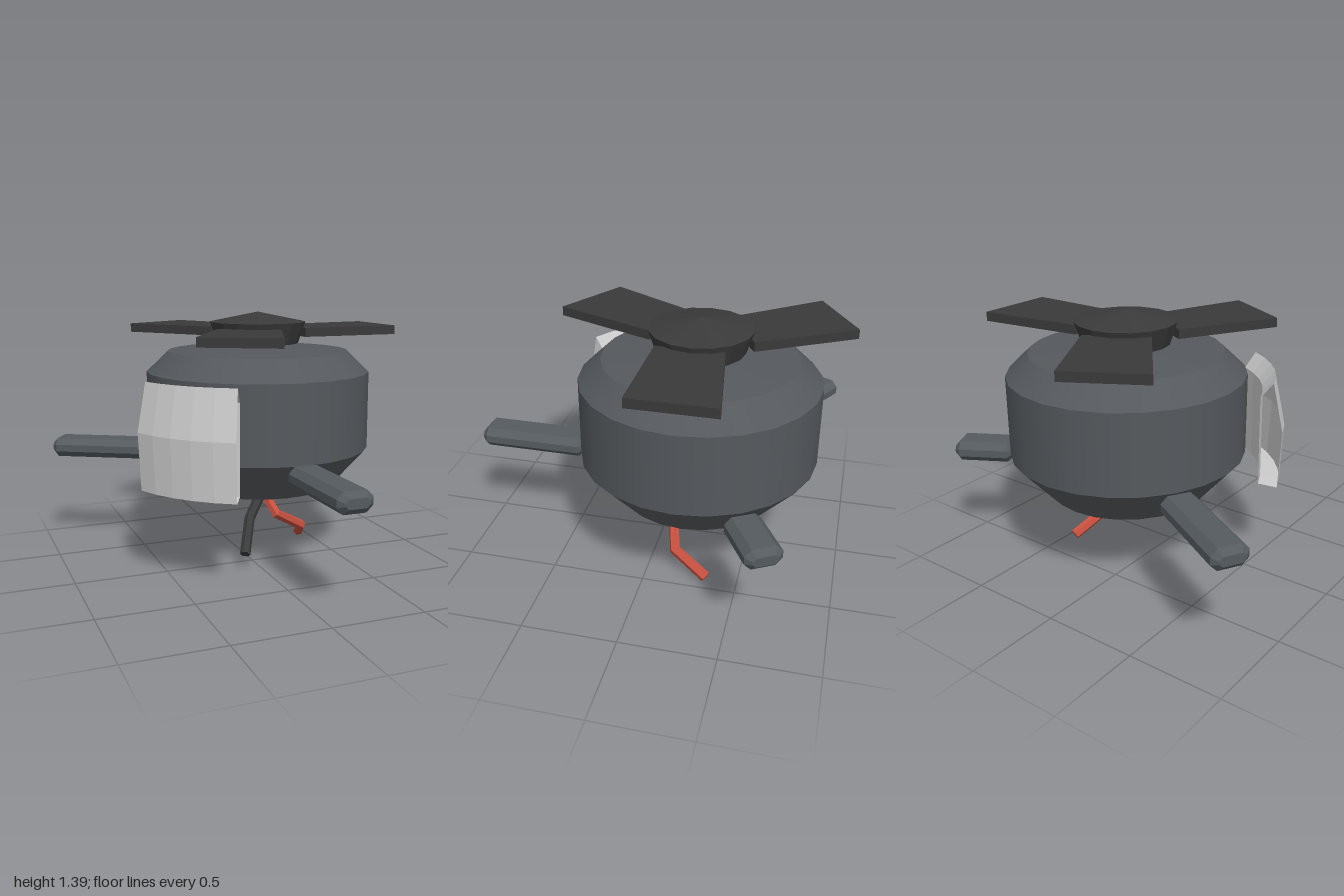
import * as THREE from 'three';

const mat = (color, extra = {}) => new THREE.MeshStandardMaterial({ color, ...extra });
const shell = mat(0x55595d);
const dark = mat(0x3a3a3a, { flatShading: true });
const arm = mat(0x555b5f, { flatShading: true });
const red = mat(0xc8503f, { flatShading: true });
const pale = mat(0xcccccc, { flatShading: true, side: THREE.DoubleSide });

function add(parent, name, geometry, material) {
  const mesh = new THREE.Mesh(geometry, material);
  mesh.name = name;
  parent.add(mesh);
  return mesh;
}

// Stacked conical bands, from a profile of [radius, height] going upward
function bands(name, profile, sides, material) {
  const group = new THREE.Group();
  group.name = name;
  for (let i = 0; i < profile.length - 1; i++) {
    const [r0, y0] = profile[i], [r1, y1] = profile[i + 1];
    const band = new THREE.CylinderGeometry(r1, r0, y1 - y0, sides, 1, true);
    add(group, name + 'Band', band, material).position.y = (y0 + y1) / 2;
  }
  return group;
}

// Tapered fan blade, slightly off its own axis
function bladeGeometry() {
  const s = new THREE.Shape();
  s.moveTo(0.21, -0.19);
  s.lineTo(0.78, -0.19);
  s.lineTo(0.78, 0.24);
  s.lineTo(0.21, 0.16);
  s.closePath();
  return new THREE.ExtrudeGeometry(s, { depth: 0.05, bevelEnabled: false })
    .rotateX(-Math.PI / 2).translate(0, 1.255, 0);
}

// Chamfered bar along +z, between two radii
function legGeometry(from, to) {
  const w = 0.095, h = 0.055, c = 0.035, b = 0.03;
  const s = new THREE.Shape([
    [w, h - c], [w - c, h], [c - w, h], [-w, h - c],
    [-w, c - h], [c - w, -h], [w - c, -h], [w, c - h],
  ].map(([x, y]) => new THREE.Vector2(x, y)));
  return new THREE.ExtrudeGeometry(s, {
    depth: to - from - 2 * b, bevelThickness: b, bevelSize: b, bevelOffset: -b, bevelSegments: 1,
  }).translate(0, 0.585, from + b);
}

// Path with sharp bends and mitred joints
class Bent extends THREE.Curve {
  constructor(points) {
    super();
    this.points = points.map((p) => new THREE.Vector3(...p));
  }
  getPointAt(u) {
    return this.points[Math.round(u * (this.points.length - 1))].clone();
  }
  getTangentAt(u) {
    const p = this.points, n = p.length - 1, i = Math.round(u * n), t = new THREE.Vector3();
    if (i > 0) t.add(p[i].clone().sub(p[i - 1]).normalize());
    if (i < n) t.add(p[i + 1].clone().sub(p[i]).normalize());
    return t.normalize();
  }
}

function wire(name, points, material) {
  const group = new THREE.Group();
  group.name = name;
  const path = new Bent(points);
  add(group, name + 'Strand', new THREE.TubeGeometry(path, points.length - 1, 0.03, 6), material);
  const cap = add(group, name + 'End', new THREE.CircleGeometry(0.03, 6), material);
  cap.position.copy(path.getPointAt(1));
  cap.lookAt(path.getPointAt(1).add(path.getTangentAt(1)));
  return group;
}

// Hollow curved guard: a closed section swept round the body, ends left open
function guardGeometry() {
  const section = [[0.775, 1.06], [0.83, 0.8], [0.815, 0.49], [0.715, 0.5], [0.71, 0.98]];
  const steps = 5, n = section.length, pos = [], index = [];
  for (let i = 0; i <= steps; i++) {
    const a = THREE.MathUtils.degToRad(119 + (41 * i) / steps);
    for (const [r, y] of section) pos.push(r * Math.cos(a), y, r * Math.sin(a));
  }
  for (let i = 0; i < steps; i++) {
    for (let j = 0; j < n; j++) {
      const a = i * n + j, b = i * n + (j + 1) % n;
      index.push(a, b, a + n, b, b + n, a + n);
    }
  }
  const g = new THREE.BufferGeometry();
  g.setAttribute('position', new THREE.Float32BufferAttribute(pos, 3));
  g.setIndex(index);
  g.computeVertexNormals();
  return g;
}

export function createModel() {
  const model = new THREE.Group();
  model.name = 'model';
  const core = new THREE.Group();
  core.name = 'core';
  core.position.set(0.12, 0, -0.22);
  model.add(core);

  // Drum body
  core.add(bands('body', [
    [0, 0.395], [0.435, 0.41], [0.63, 0.63], [0.63, 1.06], [0.51, 1.175], [0, 1.21],
  ], 24, shell));

  // Rotor hub and blades
  core.add(bands('hub', [[0, 1.21], [0.23, 1.215], [0.27, 1.335], [0, 1.39]], 16, dark));
  const blade = bladeGeometry();
  for (let i = 0; i < 3; i++) add(core, 'blade', blade, dark).rotation.y = (i * Math.PI * 2) / 3;

  // Radial legs, one of them shorter
  [['frontLeg', 0, 1.22], ['backLeftLeg', 120, 0.95], ['backRightLeg', 240, 1.22]]
    .forEach(([name, angle, reach]) => {
      add(core, name, legGeometry(0.63, reach), arm).rotation.y = THREE.MathUtils.degToRad(angle);
    });

  // Guard beside the body
  add(core, 'sideGuard', guardGeometry(), pale);

  // Loose wires underneath
  model.add(wire('redWire', [
    [0.12, 0.41, -0.23], [0.19, 0.23, -0.1], [0.37, 0.13, -0.15], [0.44, 0.03, -0.335],
  ], red));
  model.add(wire('darkWire', [[0.16, 0.41, -0.18], [0.0, 0.24, -0.04], [-0.08, 0.08, 0.095]], dark));
  return model;
}
